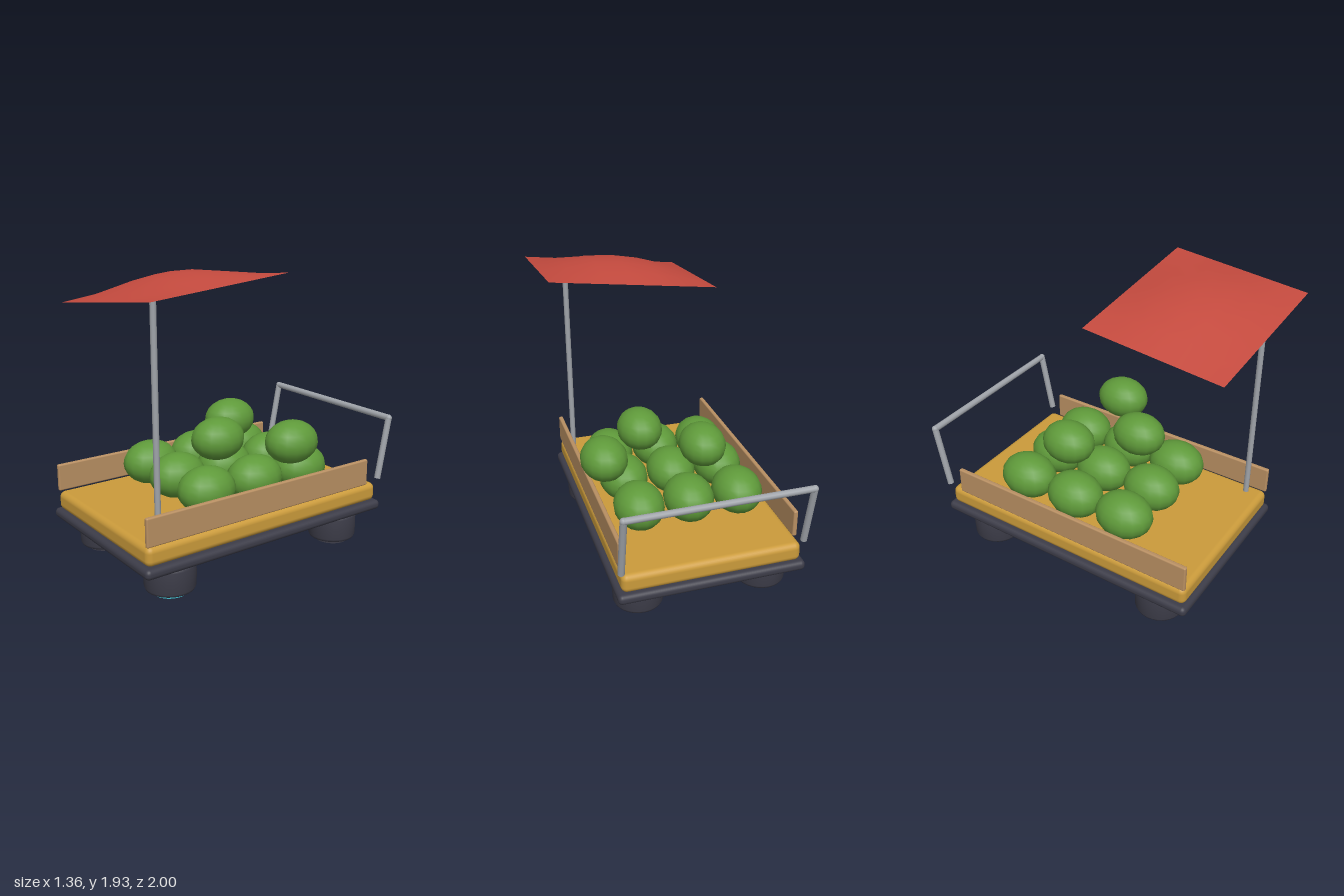
import * as THREE from 'three';
import { RoundedBoxGeometry } from 'three/addons/geometries/RoundedBoxGeometry.js';

const mat = (name, color) => {
  const m = new THREE.MeshStandardMaterial({ color });
  m.name = name;
  return m;
};

export function createModel() {
  const dark = mat('charcoal', 0x3c3c48);
  const yellow = mat('ochre', 0xcb9b3b);
  const wood = mat('wood', 0xb88f62);
  const steel = mat('steel', 0xa0a4aa);
  const green = mat('melon green', 0x5f9a3a);
  const red = mat('canopy red', 0xc44a3e);
  red.side = THREE.DoubleSide;
  const teal = mat('teal', 0x42bccb);

  const group = new THREE.Group();
  const add = (name, geometry, material, x = 0, y = 0, z = 0) => {
    const mesh = new THREE.Mesh(geometry, material);
    mesh.name = name;
    mesh.position.set(x, y, z);
    group.add(mesh);
    return mesh;
  };
  // Box with rounded edges given by its extents
  const slab = (name, material, r, x0, x1, y0, y1, z0, z1) =>
    add(name, new RoundedBoxGeometry(x1 - x0, y1 - y0, z1 - z0, 3, r), material,
      (x0 + x1) / 2, (y0 + y1) / 2, (z0 + z1) / 2);
  // Round bar between two points
  const bar = (name, a, b, r) => {
    const from = new THREE.Vector3(...a), to = new THREE.Vector3(...b);
    const dir = to.clone().sub(from);
    const mesh = add(name, new THREE.CylinderGeometry(r, r, dir.length(), 10), steel);
    mesh.position.copy(from).add(to).multiplyScalar(0.5);
    mesh.quaternion.setFromUnitVectors(new THREE.Vector3(0, 1, 0), dir.normalize());
  };

  // Cart body
  slab('chassis', dark, 0.03, -0.685, 0.54, 0.208, 0.275, -0.915, 0.98);
  slab('bed', yellow, 0.04, -0.657, 0.512, 0.272, 0.4, -0.89, 0.957);
  slab('rightBoard', wood, 0.01, -0.66, -0.63, 0.403, 0.587, -0.802, 0.957);
  slab('leftBoard', wood, 0.01, 0.482, 0.512, 0.403, 0.587, -0.802, 0.957);

  // Hover pods with glowing pads on one diagonal
  const podProfile = [[0, 0.022], [0.138, 0.022], [0.154, 0.028], [0.162, 0.045], [0.165, 0.12],
    [0.164, 0.185], [0.157, 0.202], [0.145, 0.208], [0, 0.208]].map(p => new THREE.Vector2(...p));
  const podGeometry = new THREE.LatheGeometry(podProfile, 28);
  const padGeometry = new THREE.CylinderGeometry(0.114, 0.114, 0.03, 28);
  for (const [x, sx] of [[-0.492, -1], [0.346, 1]]) {
    for (const [z, sz] of [[0.705, 1], [-0.638, -1]]) {
      add('pod', podGeometry, dark, x, 0, z);
      add('podPad', padGeometry, sx === sz ? teal : dark, x, 0.015, z);
    }
  }

  // Push handle
  const top = 0.855, topZ = -0.978;
  for (const x of [-0.66, 0.518]) {
    bar('handleLeg', [x, 0.435, -0.894], [x, top, topZ], 0.022);
    add('handleJoint', new THREE.SphereGeometry(0.023, 10, 8), steel, x, top, topZ);
  }
  bar('handleBar', [-0.66, top, topZ], [0.518, top, topZ], 0.022);

  // Canopy pole
  bar('canopyPole', [0.432, 0.39, 0.834], [0.432, 1.815, 0.834], 0.019);

  // Billowing canopy: tilted sheet with straight edges and a raised middle
  const sheet = new THREE.PlaneGeometry(1, 1, 6, 6);
  const pos = sheet.attributes.position;
  for (let i = 0; i < pos.count; i++) {
    const u = pos.getX(i) + 0.5, v = pos.getY(i) + 0.5;
    pos.setXYZ(i,
      -0.402 + 1.078 * u,
      1.71 + 0.13 * u + 0.09 * v + 0.1 * Math.sin(Math.PI * u) * Math.sin(Math.PI * v),
      0.986 + 0.01 * u - 0.92 * v);
  }
  sheet.computeVertexNormals();
  add('canopy', sheet, red);

  // Pile of melons
  const ball = new THREE.SphereGeometry(1, 16, 12);
  const melon = (x, y, z, s) =>
    add('melon', ball, green, x, y, z).scale.set(0.163 * s, 0.149 * s, 0.196 * s);
  for (const x of [-0.407, -0.072, 0.263]) {
    for (const z of [-0.392, -0.01, 0.37]) melon(x, 0.56, z, 1);
  }
  for (const [x, z] of [[-0.238, -0.178], [0.432, -0.178], [0.097, 0.163]]) melon(x, 0.815, z, 0.94);

  return group;
}
